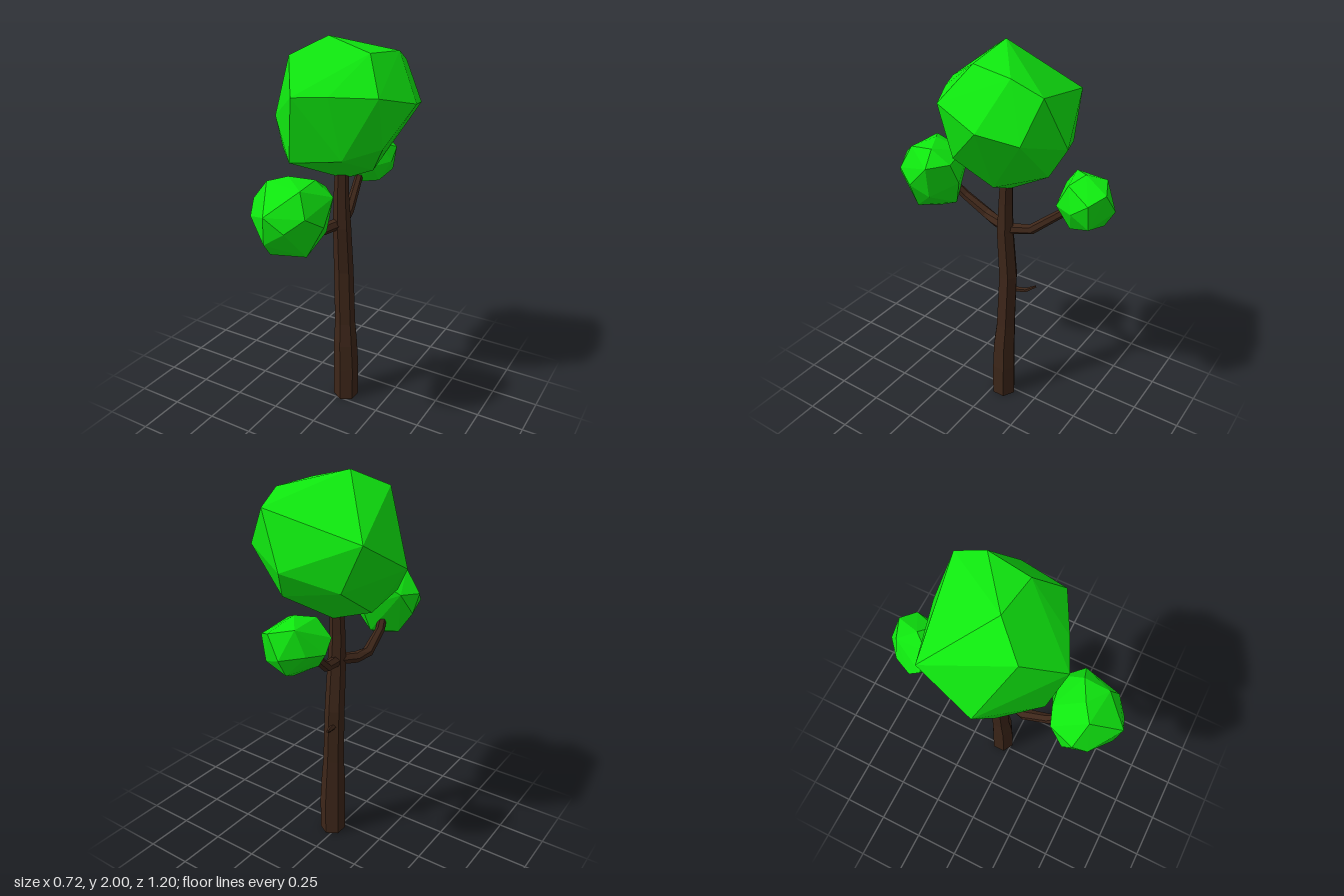
import * as THREE from 'three';
import { ConvexGeometry } from 'three/addons/geometries/ConvexGeometry.js';

const bark = new THREE.MeshStandardMaterial({ color: 0x3d2619, flatShading: true });
const leaf = new THREE.MeshStandardMaterial({ color: 0x0fe80f, flatShading: true });

// Faceted limb: rings of `sides` corners along nodes [x, y, z, radius], capped at both ends
function limb(name, nodes, sides) {
  const pts = nodes.map(n => new THREE.Vector3(n[0], n[1], n[2]));
  const up = new THREE.Vector3(0, 1, 0), q = new THREE.Quaternion();
  const pos = [], index = [];
  pts.forEach((p, i) => {
    const a = pts[Math.max(i - 1, 0)], b = pts[Math.min(i + 1, pts.length - 1)];
    const t = i === 0 ? b.clone().sub(p) : b.clone().sub(a);
    q.setFromUnitVectors(up, t.normalize());
    for (let s = 0; s < sides; s++) {
      const ang = s / sides * Math.PI * 2, r = nodes[i][3];
      const v = new THREE.Vector3(Math.sin(ang) * r, 0, Math.cos(ang) * r).applyQuaternion(q).add(p);
      pos.push(v.x, v.y, v.z);
    }
  });
  for (let i = 0; i < pts.length - 1; i++) {
    for (let s = 0; s < sides; s++) {
      const a = i * sides + s, b = i * sides + (s + 1) % sides;
      index.push(a, b, b + sides, a, b + sides, a + sides);
    }
  }
  const top = (pts.length - 1) * sides;
  for (let s = 1; s < sides - 1; s++) {
    index.push(0, s + 1, s, top, top + s, top + s + 1);
  }
  const g = new THREE.BufferGeometry();
  g.setAttribute('position', new THREE.Float32BufferAttribute(pos, 3));
  g.setIndex(index);
  const flat = g.toNonIndexed();
  flat.computeVertexNormals();
  const mesh = new THREE.Mesh(flat, bark);
  mesh.name = name;
  return mesh;
}

// Irregular faceted leaf clump: hull of its corner points
function clump(name, corners) {
  const mesh = new THREE.Mesh(new ConvexGeometry(corners.map(c => new THREE.Vector3(...c))), leaf);
  mesh.name = name;
  return mesh;
}

export function createModel() {
  const tree = new THREE.Group();
  tree.name = 'tree';

  // Trunk, slightly crooked
  tree.add(limb('trunk', [
    [0.027, 0, -0.058, 0.068], [0.027, 0.19, -0.058, 0.068], [0.022, 0.34, -0.057, 0.064],
    [0.016, 0.47, -0.062, 0.055], [0.004, 0.78, -0.066, 0.052], [0.004, 1.04, -0.046, 0.047],
    [0.0, 1.2, -0.045, 0.04], [0, 1.36, -0.05, 0.035],
  ], 6));

  // Two boughs and a small twig
  tree.add(limb('frontBranch', [
    [0, 1.06, -0.05, 0.03], [-0.05, 1.045, 0.05, 0.03], [-0.075, 1.055, 0.12, 0.029],
    [-0.065, 1.13, 0.25, 0.025], [-0.03, 1.24, 0.36, 0.02],
  ], 6));
  tree.add(limb('rearBranch', [
    [0, 1.05, -0.04, 0.03], [-0.03, 1.075, -0.18, 0.026],
    [-0.06, 1.2, -0.33, 0.022], [-0.07, 1.29, -0.43, 0.018],
  ], 6));
  tree.add(limb('twig', [
    [-0.01, 0.69, -0.09, 0.015], [-0.025, 0.70, -0.16, 0.012], [-0.05, 0.725, -0.205, 0.006],
  ], 5));

  // Main crown, from the top down
  tree.add(clump('mainCrown', [
    [-0.05, 2.0, -0.01], [-0.18, 1.92, 0.13], [0.18, 1.94, 0.01], [0.22, 1.925, -0.21],
    [0.19, 1.86, -0.355], [-0.06, 1.77, 0.305], [0.09, 1.775, 0.235], [0.29, 1.77, 0.13],
    [-0.30, 1.75, -0.28], [0.36, 1.705, -0.12], [0.30, 1.67, -0.31], [0.06, 1.595, -0.41],
    [-0.36, 1.585, 0], [0.28, 1.52, 0.06], [-0.20, 1.52, -0.30], [0.13, 1.47, 0.18],
    [0.10, 1.46, -0.34], [-0.12, 1.44, 0.24], [-0.27, 1.45, 0.07], [-0.21, 1.36, -0.06],
    [0.16, 1.36, -0.08], [0, 1.29, -0.08],
  ]));

  // Front clump
  tree.add(clump('frontCrown', [
    [-0.02, 1.44, 0.395], [0.09, 1.425, 0.34], [-0.10, 1.42, 0.45], [0.09, 1.41, 0.47],
    [-0.08, 1.38, 0.26], [0.08, 1.36, 0.235], [0.17, 1.35, 0.32], [-0.16, 1.33, 0.29],
    [-0.02, 1.31, 0.60], [-0.20, 1.31, 0.42], [-0.17, 1.25, 0.49], [0.07, 1.24, 0.575],
    [0.18, 1.24, 0.42], [0.14, 1.30, 0.51], [0.03, 1.245, 0.22], [-0.19, 1.21, 0.37],
    [0.14, 1.18, 0.33], [-0.04, 1.165, 0.575], [0.10, 1.085, 0.44], [0, 1.11, 0.26],
    [-0.12, 1.10, 0.35], [0, 1.06, 0.375], [-0.06, 1.085, 0.50],
  ]));

  // Rear clump
  tree.add(clump('rearCrown', [
    [-0.055, 1.44, -0.45], [-0.12, 1.42, -0.37], [-0.12, 1.41, -0.53], [0.02, 1.40, -0.40],
    [-0.01, 1.385, -0.58], [0.07, 1.35, -0.53], [-0.10, 1.35, -0.325], [-0.20, 1.34, -0.37],
    [-0.08, 1.28, -0.60], [0.08, 1.29, -0.45], [-0.21, 1.28, -0.43], [-0.17, 1.29, -0.52],
    [0.02, 1.28, -0.34], [-0.08, 1.24, -0.31], [0.05, 1.22, -0.53], [-0.15, 1.20, -0.40],
    [-0.08, 1.19, -0.55], [-0.06, 1.18, -0.35], [0.02, 1.18, -0.42], [-0.06, 1.155, -0.48],
  ]));

  return tree;
}
